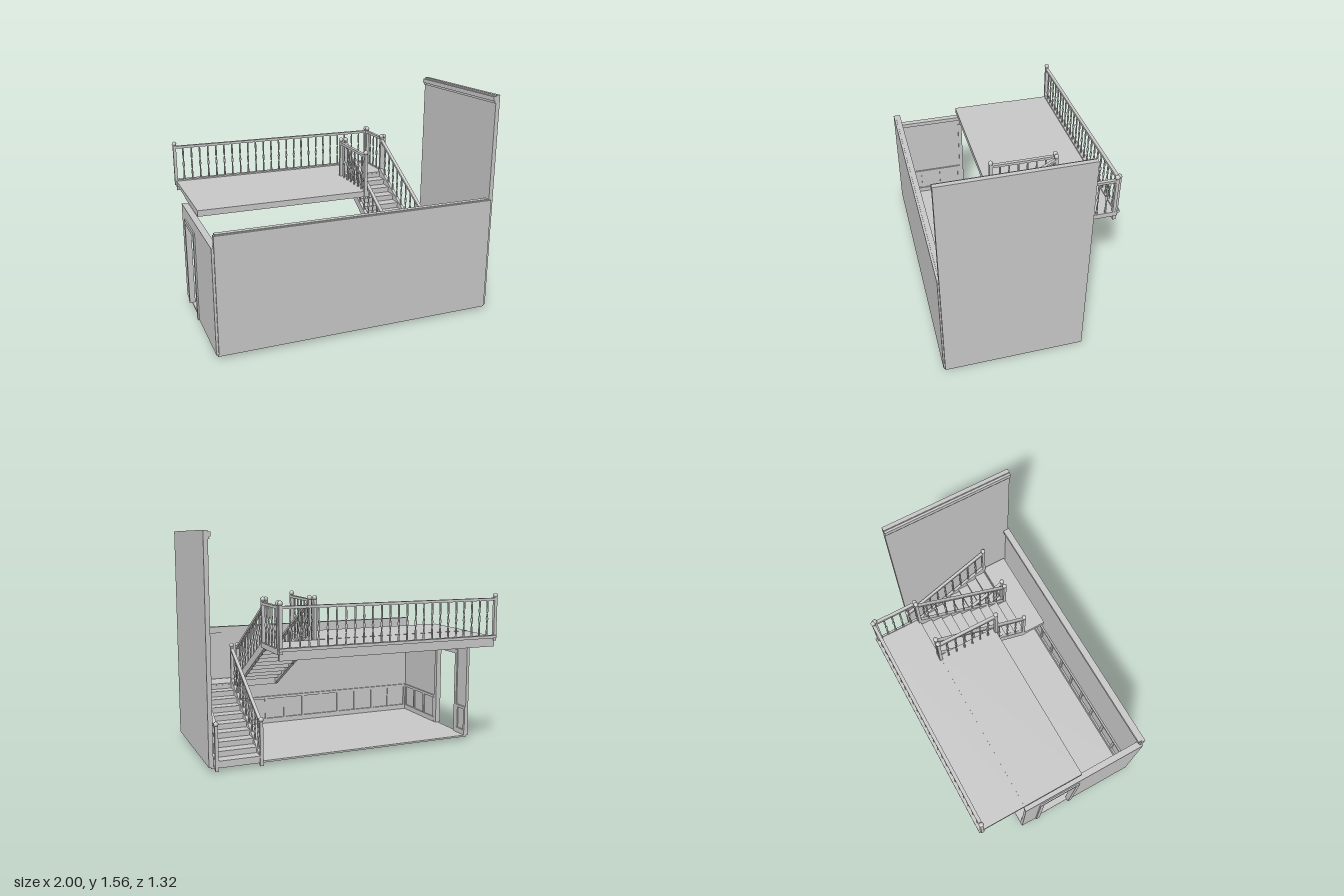
import * as THREE from 'three';

const grey = new THREE.MeshStandardMaterial({ color: 0xc8c8c8 });
grey.name = 'plain grey';

export function createModel() {
  const root = new THREE.Group();
  root.name = 'roomWithStaircase';

  const add = (name, geometry, parent = root) => {
    const mesh = new THREE.Mesh(geometry, grey);
    mesh.name = name;
    parent.add(mesh);
    return mesh;
  };
  // Box given by its extents
  const box = (name, x0, x1, y0, y1, z0, z1, parent) => {
    const g = new THREE.BoxGeometry(x1 - x0, y1 - y0, z1 - z0);
    g.translate((x0 + x1) / 2, (y0 + y1) / 2, (z0 + z1) / 2);
    return add(name, g, parent);
  };
  // Profile drawn in (z, y), extruded along x
  const extrudeX = (name, shape, x0, x1, parent) => {
    const g = new THREE.ExtrudeGeometry(shape, { depth: x1 - x0, bevelEnabled: false });
    g.rotateY(-Math.PI / 2);
    g.translate(x1, 0, 0);
    return add(name, g, parent);
  };
  const polygon = (pts) => new THREE.Shape(pts.map(([z, y]) => new THREE.Vector2(z, y)));
  // Sloping bar with plumb-cut ends
  const slope = (name, x, w, z0, y0, z1, y1, h, parent) =>
    extrudeX(name, polygon([[z0, y0], [z1, y1], [z1, y1 + h], [z0, y0 + h]]), x - w / 2, x + w / 2, parent);

  // Floor and walls
  box('floor', -0.98, 0.98, 0.02, 0.032, -0.31, 0.65);
  box('frontWall', -0.975, 0.98, 0.03, 0.83, 0.625, 0.655);
  box('frontWallCap', -0.965, 0.965, 0.81, 0.835, 0.605, 0.64);
  box('frontWallCornice', -0.965, 0.965, 0.785, 0.81, 0.613, 0.63);
  box('tallWall', 0.967, 0.997, 0.03, 1.56, -0.31, 0.645);
  box('tallWallCornice', 0.95, 0.97, 1.52, 1.55, -0.31, 0.645);
  box('tallWallCorniceLower', 0.958, 0.97, 1.505, 1.52, -0.31, 0.645);

  // Side wall with doorway
  const side = polygon([[-0.31, 0.03], [-0.16, 0.03], [-0.16, 0.64], [0.1, 0.64], [0.1, 0.03],
    [0.645, 0.03], [0.645, 0.75], [-0.31, 0.75]]);
  extrudeX('doorWall', side, -0.99, -0.968);
  box('doorWallCornice', -0.97, -0.945, 0.72, 0.75, -0.31, 0.625);
  box('doorCasingBack', -1, -0.96, 0.03, 0.67, -0.19, -0.16);
  box('doorCasingFront', -1, -0.96, 0.03, 0.67, 0.1, 0.13);
  box('doorCasingTop', -1, -0.96, 0.64, 0.67, -0.19, 0.13);

  // Low panelling inside the walls
  const frames = new THREE.Group();
  frames.name = 'wainscot';
  root.add(frames);
  for (const [y0, y1] of [[0.03, 0.07], [0.23, 0.25]]) {
    box('frontPanelRail', -0.965, 0.965, y0, y1, 0.612, 0.627, frames);
    box('sidePanelRail', -0.97, -0.957, y0, y1, 0.13, 0.625, frames);
    box('sidePanelRail', -0.97, -0.957, y0, y1, -0.31, -0.19, frames);
  }
  for (let i = 0; i < 13; i++) {
    const x = -0.955 + i * 0.158;
    box('frontPanelStile', x - 0.01, x + 0.01, 0.07, 0.23, 0.616, 0.627, frames);
  }
  for (const z of [-0.3, -0.2, 0.14, 0.3, 0.46, 0.61])
    box('sidePanelStile', -0.97, -0.96, 0.07, 0.23, z - 0.01, z + 0.01, frames);

  // Upper gallery
  box('galleryFloor', -0.965, 0.62, 0.8, 0.83, -0.64, -0.31);
  box('platform', -0.965, 0.285, 0.79, 0.832, -0.31, 0.145);
  box('galleryFascia', -0.965, 0.62, 0.76, 0.83, -0.64, -0.618);
  box('galleryMoulding', -0.97, 0.625, 0.82, 0.84, -0.66, -0.625);
  box('galleryEndTrim', 0.615, 0.63, 0.8, 0.835, -0.64, -0.31);

  // Railings: posts with balls, handrail, turned balusters
  const turned = new THREE.LatheGeometry(
    [[0, 0], [0.007, 0], [0.006, 0.075], [0.003, 0.085], [0.009, 0.125], [0.003, 0.165],
      [0.007, 0.175], [0.006, 0.255], [0, 0.255]].map(([r, y]) => new THREE.Vector2(r, y)), 8);
  const ball = new THREE.SphereGeometry(0.017, 12, 8);
  const post = (x, y, z, parent) => {
    box('post', x - 0.011, x + 0.011, y - 0.03, y + 0.275, z - 0.011, z + 0.011, parent);
    add('postBall', ball, parent).position.set(x, y + 0.287, z);
  };
  const railing = (name, a, b, count) => {
    const g = new THREE.Group();
    g.name = name;
    root.add(g);
    post(...a, g);
    post(...b, g);
    if (a[2] === b[2]) box('handrail', a[0], b[0], a[1] + 0.252, a[1] + 0.27, a[2] - 0.012, a[2] + 0.012, g);
    else slope('handrail', a[0], 0.024, a[2], a[1] + 0.252, b[2], b[1] + 0.252, 0.018, g);
    const p = new THREE.Vector3(...a), q = new THREE.Vector3(...b);
    for (let i = 1; i <= count; i++)
      add('baluster', turned, g).position.lerpVectors(p, q, i / (count + 1));
  };
  railing('galleryRailing', [-0.965, 0.83, -0.637], [0.61, 0.83, -0.637], 24);
  railing('galleryEndRailing', [0.618, 0.83, -0.62], [0.618, 0.83, -0.312], 4);
  railing('platformRailing', [0.255, 0.83, -0.312], [0.255, 0.83, 0.143], 6);

  // Two stair flights joined by a landing
  const STEPS = 9, RUN = 0.08, RISE = 0.04;
  box('landing', 0.285, 0.95, 0.395, 0.43, 0.41, 0.605);
  const flight = (name, x0, x1, zStart, dir, yStart) => {
    const g = new THREE.Group();
    g.name = name;
    root.add(g);
    for (let i = 0; i <= STEPS; i++) {
      const z = zStart + dir * RUN * i, y = yStart + RISE * i;
      box('riser', x0, x1, y, y + RISE - 0.01, z - 0.003, z + 0.003, g);
      if (i === STEPS) break;
      const e = z + dir * RUN, nose = z - dir * 0.008;
      box('tread', x0, x1, y + RISE - 0.012, y + RISE, Math.min(nose, e), Math.max(nose, e), g);
    }
    const zEnd = zStart + dir * RUN * STEPS, yEnd = yStart + 0.4;
    for (const x of [x0, x1]) {
      slope('stringer', x, 0.022, zStart, yStart - 0.03, zEnd, yEnd - 0.03, 0.065, g);
      railing(name + 'Railing', [x, yStart, zStart], [x, yEnd, zEnd], 9);
    }
  };
  flight('lowerFlight', 0.64, 0.945, -0.31, 1, 0.03);
  flight('upperFlight', 0.292, 0.597, 0.41, -1, 0.43);

  return root;
}
